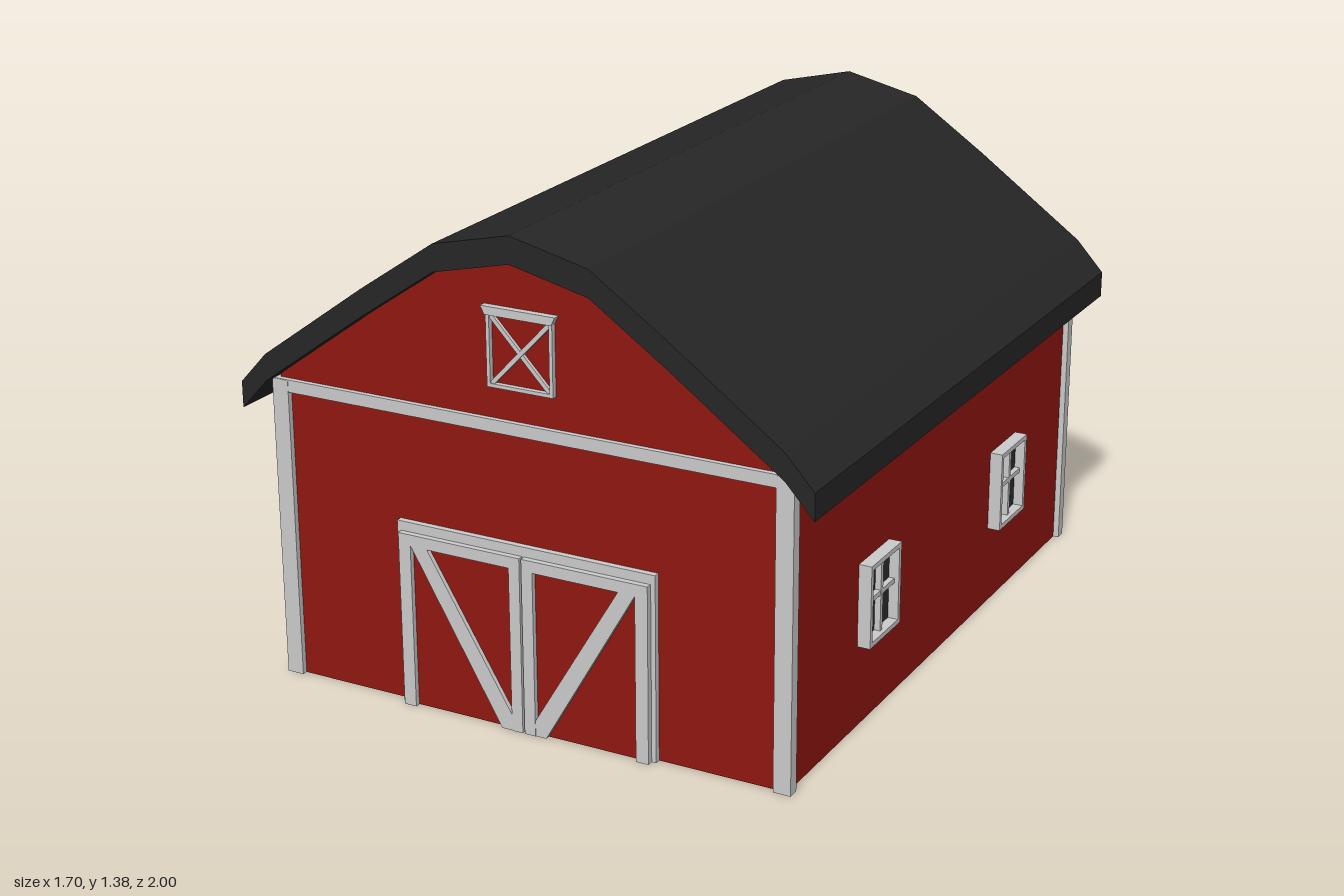
import * as THREE from 'three';

const mat = (color) => new THREE.MeshStandardMaterial({ color, flatShading: true });

export function createModel() {
  const red = mat(0x901711), dark = mat(0x262626), glass = mat(0x2b2e30), trim = mat(0xcccccc);
  const barn = new THREE.Group();
  barn.name = 'barn';

  const add = (parent, name, geometry, material) => {
    const mesh = new THREE.Mesh(geometry, material);
    mesh.name = name;
    parent.add(mesh);
    return mesh;
  };
  // box given by its limits on each axis
  const box = (parent, name, [x0, x1], [y0, y1], [z0, z1], material = trim) => {
    const mesh = add(parent, name, new THREE.BoxGeometry(x1 - x0, y1 - y0, z1 - z0), material);
    mesh.position.set((x0 + x1) / 2, (y0 + y1) / 2, (z0 + z1) / 2);
    return mesh;
  };
  // outline in x, y extruded between two z values
  const slab = (parent, name, points, z0, z1, material = trim) => {
    const shape = new THREE.Shape(points.map(([x, y]) => new THREE.Vector2(x, y)));
    const geometry = new THREE.ExtrudeGeometry(shape, { depth: z1 - z0, bevelEnabled: false });
    return add(parent, name, geometry.translate(0, 0, z0), material);
  };
  const mirrored = (half) => [...half, ...half.filter(([x]) => x > 0).reverse().map(([x, y]) => [-x, y])];

  // gambrel roof: right half of the top line, eave to ridge
  const roofHalf = [[0.85, 0.855], [0.768, 0.945], [0.45, 1.175], [0.227, 1.327], [0, 1.38]];
  const top = mirrored(roofHalf);
  const under = top.map(([x, y]) => [x, y - 0.075]).reverse();
  slab(barn, 'roof', [...top, ...under], -1, 1, dark);

  // walls with both gables
  const wallHalf = [[0.76, 0], [0.76, 0.875], ...roofHalf.slice(2).map(([x, y]) => [x, y - 0.07])];
  slab(barn, 'walls', mirrored(wallHalf), -0.947, 0.947, red);

  // corner posts and the bands below the roof
  for (const s of [-1, 1]) {
    const span = (a, b) => (s > 0 ? [a, b] : [-b, -a]);
    for (const zs of [[0.93, 0.963], [-0.963, -0.93]]) {
      box(barn, 'cornerPost', span(0.727, 0.777), [0, 0.865], zs);
    }
    box(barn, 'gableBand', [-0.777, 0.777], [0.832, 0.867], span(0.93, 0.962));
    box(barn, 'eaveBand', span(0.745, 0.776), [0.832, 0.865], [-0.96, 0.96]);
  }

  // door surround
  box(barn, 'doorLintel', [-0.39, 0.39], [0.5, 0.53], [0.94, 0.965]);

  // pair of barn doors, each with rails and a diagonal brace
  for (const s of [-1, 1]) {
    const door = new THREE.Group();
    door.name = s > 0 ? 'leftDoor' : 'rightDoor';
    barn.add(door);
    const span = (a, b) => (s > 0 ? [a, b] : [-b, -a]);
    box(barn, 'doorJamb', span(0.34, 0.39), [0, 0.53], [0.94, 0.964]);
    box(door, 'doorPanel', span(0.003, 0.375), [0.001, 0.5], [0.945, 0.967], red);
    box(door, 'outerStile', span(0.34, 0.377), [0, 0.503], [0.95, 0.982]);
    box(door, 'innerStile', span(0.003, 0.036), [0, 0.503], [0.95, 0.982]);
    box(door, 'topRail', span(0.036, 0.34), [0.47, 0.503], [0.95, 0.982]);
    const brace = [[0.34, 0.47], [0.29, 0.47], [0.036, 0.045], [0.036, 0], [0.068, 0]];
    slab(door, 'brace', brace.map(([x, y]) => [s * x, y]), 0.95, 0.98);
  }
  box(barn, 'doorGap', [-0.003, 0.003], [0.001, 0.5], [0.945, 0.966], dark);

  // hayloft hatch in the front gable
  const hatch = new THREE.Group();
  hatch.name = 'loftHatch';
  barn.add(hatch);
  const hz = [0.94, 0.962];
  for (const s of [-1, 1]) {
    box(hatch, 'hatchSide', s > 0 ? [0.088, 0.098] : [-0.098, -0.088], [0.955, 1.155], hz);
    const bar = box(hatch, 'crossBar', [-0.132, 0.132], [-0.006, 0.006], [0.94, 0.958 + s * 0.001]);
    bar.position.y = 1.055;
    bar.rotation.z = s * Math.atan2(0.19, 0.18);
  }
  box(hatch, 'hatchSill', [-0.098, 0.098], [0.955, 0.965], hz);
  slab(hatch, 'hatchCap', [[-0.098, 1.15], [0.098, 1.15], [0.11, 1.173], [-0.11, 1.173]], 0.94, 0.967);

  // four-pane window, built facing +z around its centre
  const addWindow = (side, y, z) => {
    const w = new THREE.Group();
    w.name = 'sideWindow';
    const W = 0.096, H = 0.118, t = 0.014;
    box(w, 'pane', [-W + 0.005, W - 0.005], [-H + 0.005, H - 0.005], [-0.02, 0.008], glass);
    for (const s of [-1, 1]) {
      const span = (a, b) => (s > 0 ? [a, b] : [-b, -a]);
      box(w, 'frameSide', span(W - t, W), [-H, H], [-0.02, 0.037]);
      box(w, 'frameRail', [-W + t, W - t], span(H - t, H), [-0.02, 0.037]);
    }
    box(w, 'uprightBar', [-0.007, 0.007], [-H + t, H - t], [-0.01, 0.025]);
    box(w, 'levelBar', [-W + t, W - t], [0, 0.014], [-0.01, 0.024]);
    w.position.set(side * 0.76, y, z);
    w.rotation.y = side * Math.PI / 2;
    barn.add(w);
  };
  addWindow(1, 0.353, 0.439);
  addWindow(1, 0.353, -0.466);
  addWindow(-1, 0.372, 0);

  return barn;
}
